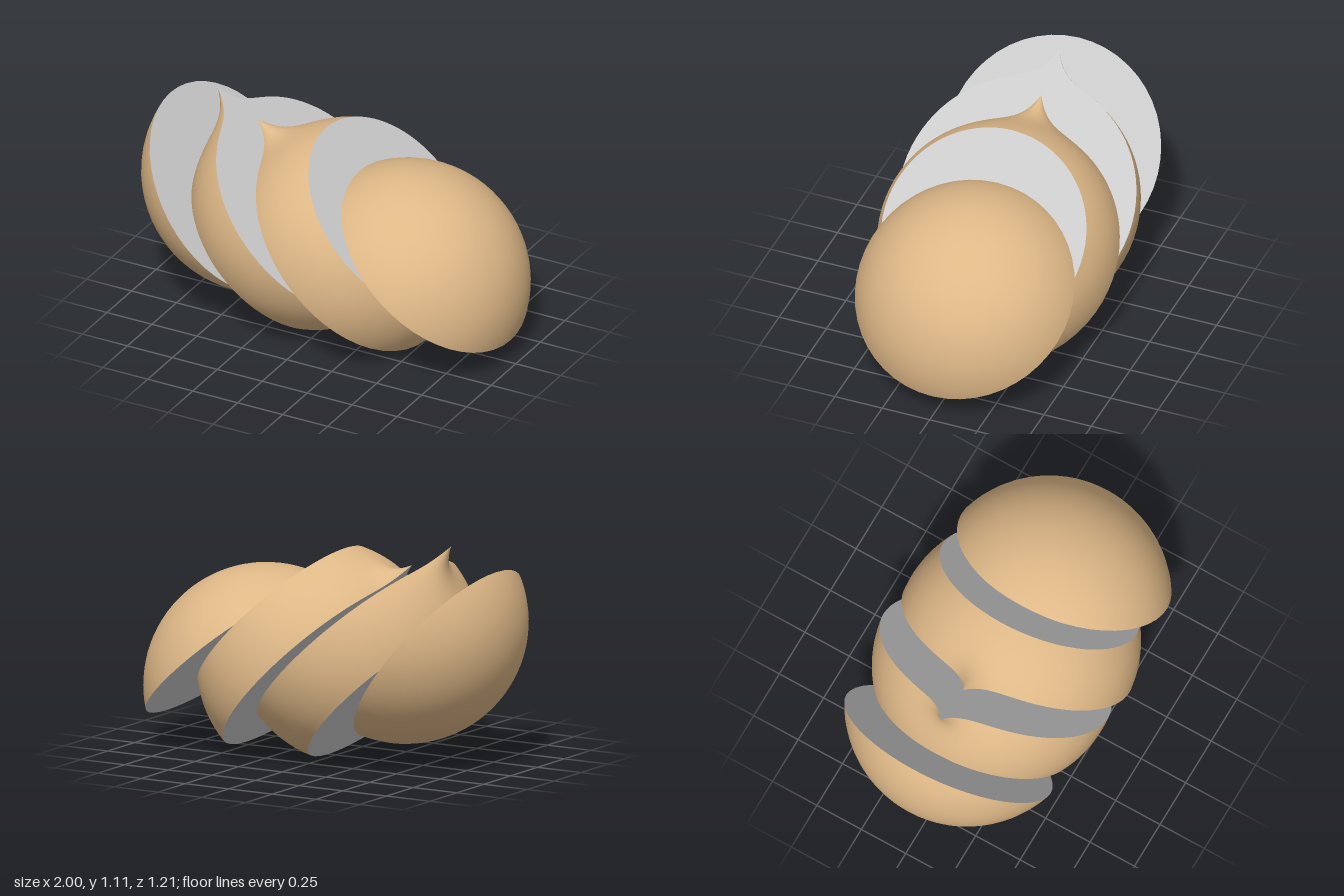
import * as THREE from 'three';

const R = 0.605;      // radius of the middle slices
const THICK = 0.305;  // thickness of the middle slices
const CAP_R = 0.6;    // radius of the end caps
const CAP_CUT = 0.23; // distance of the cap cut from its sphere centre

const skin = new THREE.MeshStandardMaterial({ color: 0xdeb887 });
const flesh = new THREE.MeshStandardMaterial({ color: 0xcccccc, side: THREE.DoubleSide });

function addMesh(group, name, geometry, material) {
  const mesh = new THREE.Mesh(geometry, material);
  mesh.name = name;
  group.add(mesh);
  return mesh;
}

// Places a group so that local z is the cut normal (nx, ny) and local x runs along the cut
function place(group, x, y, tx, ty, nx, ny) {
  const t = new THREE.Vector3(tx, ty, 0).normalize();
  const n = new THREE.Vector3(nx, ny, 0).normalize();
  group.quaternion.setFromRotationMatrix(
    new THREE.Matrix4().makeBasis(t, new THREE.Vector3().crossVectors(n, t), n));
  group.position.set(x, y, 0);
  return group;
}

// Outline of the body at distance n from the middle: a circle with a pointed tip at +x
const COUNT = 96;
function outline(n) {
  const points = [];
  const q = Math.sqrt(R * R - n * n);
  for (let i = 0; i < COUNT; i++) {
    const u = (2 * i) / COUNT - 1;
    const s = Math.PI * u * (0.3 + 0.7 * u * u); // denser samples near the tip
    let x = q * Math.cos(s);
    const y = q * Math.sin(s);
    if (x > 0) x += 0.15 * Math.exp(-Math.hypot(y, n) / 0.06);
    points.push(new THREE.Vector2(x, y));
  }
  return points;
}

// Middle slice: lofted skin between two flat cut faces
function makeSlice(name) {
  const group = new THREE.Group();
  group.name = name;
  const rows = 18, pos = [], idx = [];
  for (let k = 0; k <= rows; k++) {
    const n = THICK * Math.pow(k / rows, 1.6);
    for (const p of outline(n)) pos.push(p.x, p.y, n);
    if (k === rows) break;
    for (let i = 0; i < COUNT; i++) {
      const j = (i + 1) % COUNT;
      const a = k * COUNT + i, b = k * COUNT + j;
      idx.push(a, b, b + COUNT, a, b + COUNT, a + COUNT);
    }
  }
  const geo = new THREE.BufferGeometry();
  geo.setAttribute('position', new THREE.Float32BufferAttribute(pos, 3));
  geo.setIndex(idx);
  geo.computeVertexNormals();
  addMesh(group, 'sliceSkin', geo, skin);
  for (const [label, n] of [['innerCut', 0], ['outerCut', THICK]]) {
    const face = new THREE.ShapeGeometry(new THREE.Shape(outline(n)));
    addMesh(group, label, face, flesh).position.z = n;
  }
  return group;
}

// End cap: part of a sphere closed by a round cut face
function makeCap(name) {
  const group = new THREE.Group();
  group.name = name;
  const dome = new THREE.SphereGeometry(CAP_R, 48, 18, 0, Math.PI * 2, 0, Math.acos(CAP_CUT / CAP_R));
  dome.rotateX(Math.PI / 2);
  addMesh(group, 'capSkin', dome, skin);
  const disc = new THREE.CircleGeometry(Math.sqrt(CAP_R ** 2 - CAP_CUT ** 2), 48);
  addMesh(group, 'capCut', disc, flesh).position.z = CAP_CUT;
  return group;
}

export function createModel() {
  const model = new THREE.Group();
  model.name = 'slicedFruit';
  model.add(
    place(makeCap('rightCap'), -0.4, 0.71, -0.61, 0.79, -0.79, -0.61),
    place(makeSlice('rightSlice'), -0.12, 0.585, -0.718, 0.696, -0.696, -0.718),
    place(makeSlice('leftSlice'), 0.09, 0.45, -0.696, 0.718, 0.718, 0.696),
    place(makeCap('leftCap'), 0.4, 0.31, -0.76, 0.65, 0.65, 0.76)
  );
  return model;
}
